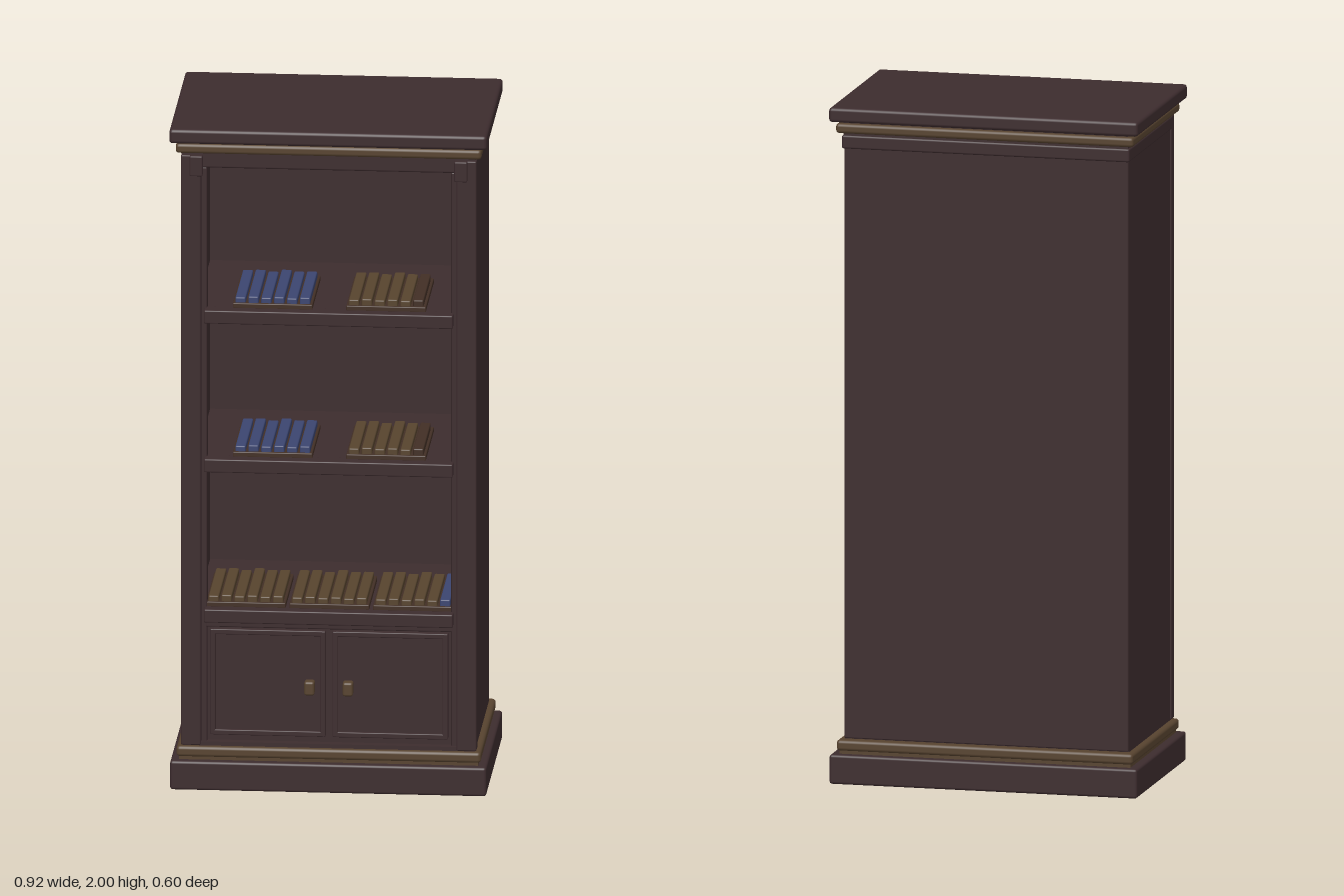
import * as THREE from 'three';
import { RoundedBoxGeometry } from 'three/addons/geometries/RoundedBoxGeometry.js';

const mat = (name, color) => {
  const m = new THREE.MeshStandardMaterial({ color });
  m.name = name;
  return m;
};

export function createModel() {
  const model = new THREE.Group();
  model.name = 'bookcase';
  const wood = mat('dark wood', 0x3d2c2e);
  const trim = mat('bronze trim', 0x57432f);
  const tan = mat('tan book cover', 0x57442e);
  const brown = mat('brown book cover', 0x422f25);
  const blue = mat('blue book cover', 0x3b4570);

  // Bevelled box given by its min and max on each axis
  const box = (name, material, [x0, x1], [y0, y1], [z0, z1], bevel = 0.004, parent = model) => {
    const w = x1 - x0, h = y1 - y0, d = z1 - z0;
    const geo = bevel
      ? new RoundedBoxGeometry(w, h, d, 2, Math.min(bevel, w / 3, h / 3, d / 3))
      : new THREE.BoxGeometry(w, h, d);
    const mesh = new THREE.Mesh(geo, material);
    mesh.name = name;
    mesh.position.set((x0 + x1) / 2, (y0 + y1) / 2, (z0 + z1) / 2);
    parent.add(mesh);
    return mesh;
  };
  const span = (h) => [-h, h];

  // Plinth and crown, each with a bronze moulding
  box('plinth', wood, span(0.46), [0, 0.087], [-0.298, 0.295], 0.008);
  box('plinthCore', wood, span(0.425), [0.08, 0.14], [-0.25, 0.265], 0);
  box('baseMoulding', trim, span(0.443), [0.096, 0.128], [-0.282, 0.28], 0.01);
  box('baseMouldingFoot', trim, span(0.435), [0.085, 0.1], [-0.275, 0.272], 0);
  box('frieze', wood, span(0.43), [1.875, 1.915], [-0.268, 0.262], 0.006);
  box('crownCore', wood, span(0.425), [1.905, 1.965], [-0.265, 0.265], 0);
  box('crownMoulding', trim, span(0.445), [1.922, 1.951], [-0.282, 0.28], 0.01);
  box('crown', wood, span(0.462), [1.957, 2], [-0.298, 0.302], 0.01);

  // Carcass
  box('backPanel', wood, span(0.425), [0.13, 1.88], [-0.258, -0.235]);
  for (const s of [-1, 1]) {
    const mirror = (a, b) => (s > 0 ? [a, b] : [-b, -a]);
    const side = s > 0 ? 'left' : 'right';
    box(side + 'SidePanel', wood, mirror(0.385, 0.425), [0.13, 1.88], [-0.25, 0.245]);
    box(side + 'Stile', wood, mirror(0.372, 0.43), [0.13, 1.915], [0.238, 0.272]);
    box(side + 'InnerPost', wood, mirror(0.355, 0.39), [0.13, 1.875], [0.215, 0.255]);
    box(side + 'Corbel', wood, mirror(0.366, 0.404), [1.855, 1.916], [0.255, 0.285]);
  }

  // Shelves with a raised front lip
  const shelfTops = [0.545, 1.0, 1.45];
  for (const y of shelfTops) {
    box('shelf', wood, span(0.387), [y - 0.036, y - 0.002], [-0.24, 0.24], 0);
    box('shelfLip', wood, span(0.362), [y - 0.04, y], [0.235, 0.285]);
  }

  // Cupboard with framed doors and bronze pulls
  box('cupboardFront', wood, span(0.37), [0.13, 0.51], [0.215, 0.242], 0);
  box('cupboardRail', wood, span(0.36), [0.484, 0.508], [0.235, 0.255]);
  for (const s of [-1, 1]) {
    const door = new THREE.Group();
    door.name = s > 0 ? 'leftDoor' : 'rightDoor';
    door.position.x = s * 0.178;
    model.add(door);
    box('doorPanel', wood, span(0.168), [0.16, 0.479], [0.238, 0.252], 0.003, door);
    for (const t of [-1, 1]) {
      const x = t * 0.16, y = 0.3195 + t * 0.152;
      box('doorStile', wood, [x - 0.008, x + 0.008], [0.16, 0.479], [0.24, 0.26], 0.003, door);
      box('doorRail', wood, span(0.16), [y - 0.008, y + 0.008], [0.24, 0.26], 0.003, door);
    }
    const hx = -s * 0.122;
    box('doorPull', trim, [hx - 0.015, hx + 0.015], [0.29, 0.332], [0.25, 0.284], 0.007, door);
  }

  // A row of thin books lying on a low backing board
  const bookRow = (x, y, cover, last) => {
    const row = new THREE.Group();
    row.name = 'bookRow';
    row.position.set(x, y, 0);
    model.add(row);
    box('rowBoard', brown, span(0.116), [-0.002, 0.014], [-0.05, 0.25], 0.003, row);
    for (let i = 0; i < 6; i++) {
      const cx = -0.094 + i * 0.0375;
      const top = 0.03 + (i % 2) * 0.003;
      const c = i === 5 ? last : cover;
      box('book', c, [cx - 0.015, cx + 0.015], [0.01, top], [-0.04 + (i % 3) * 0.006, 0.243], 0.004, row);
    }
  };
  for (const y of shelfTops.slice(1)) {
    bookRow(-0.165, y, blue, blue);
    bookRow(0.165, y, tan, brown);
  }
  bookRow(-0.243, shelfTops[0], tan, tan);
  bookRow(0, shelfTops[0], tan, tan);
  bookRow(0.243, shelfTops[0], tan, blue);

  return model;
}
